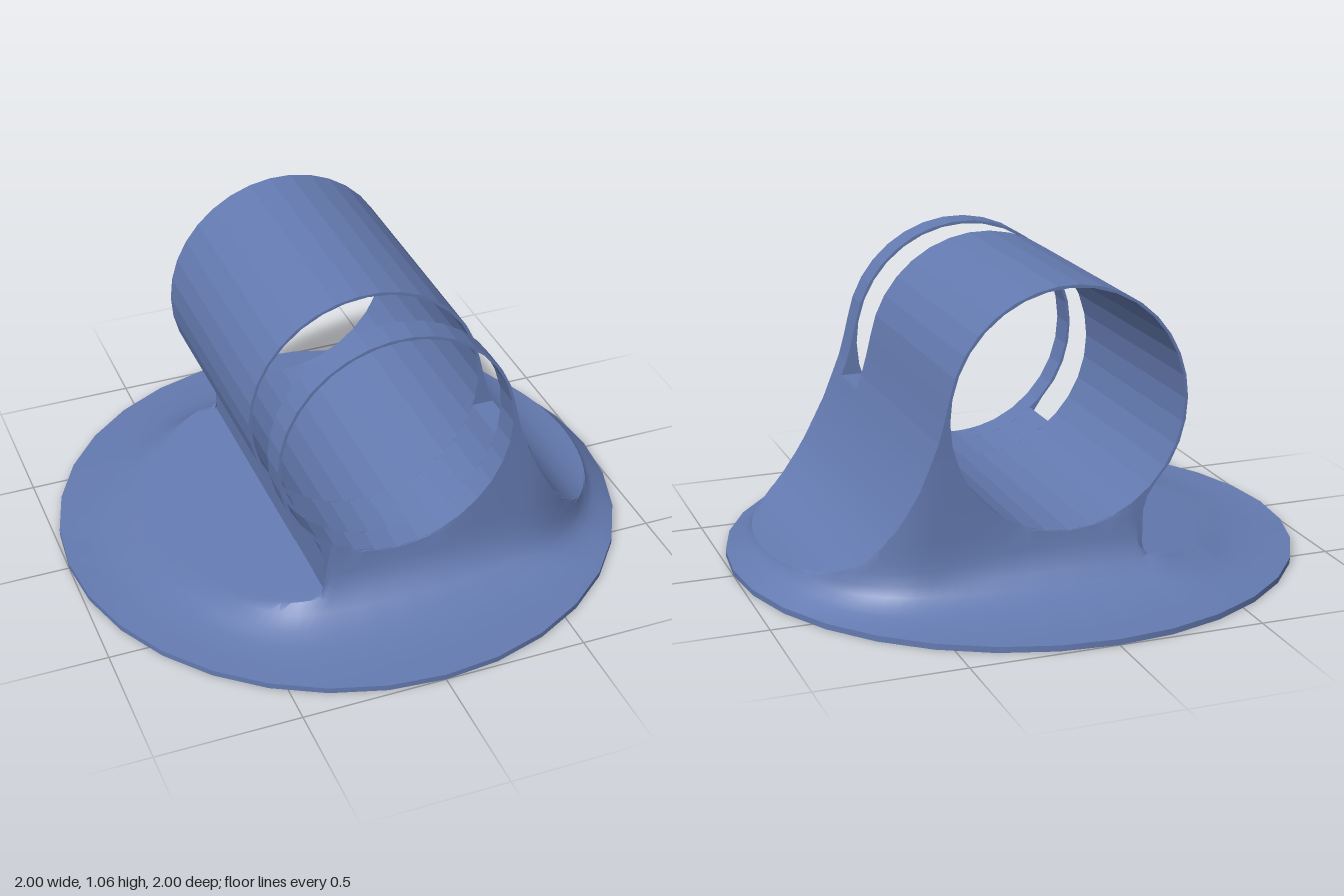
import * as THREE from 'three';
import { toCreasedNormals } from 'three/addons/utils/BufferGeometryUtils.js';

const CY = 0.645, R = 0.42, BORE = 0.41;        // tube centre height and radii
const HALF = 0.57, LEFT = -0.262, RIGHT = 0.47; // straight part of the body
const END_R = 0.43, END_L = 0.34;               // lengths of the rounded ends

const slope = [[0.47, 0.53], [0.5, 0.45], [0.55, 0.36], [0.6, 0.28], [0.65, 0.22], [0.7, 0.175],
  [0.75, 0.145], [0.8, 0.125], [0.85, 0.115], [0.9, 0.108], [1, 0.1]];
const flare = [[0, 0.6], [0.01, 0.25], [0.025, 0.19], [0.05, 0.155], [0.1, 0.115], [0.19, 0.08],
  [0.35, 0.05], [0.53, 0.032], [0.77, 0.024], [1, 0.02]];

function interpolate(table, x) {
  for (let i = 1; i < table.length; i++) {
    const [x0, y0] = table[i - 1], [x1, y1] = table[i];
    if (x <= x1) return y0 + (y1 - y0) * (x - x0) / (x1 - x0);
  }
  return table[table.length - 1][1];
}

// Highest allowed surface at x: left ramp, under the bore, or right slope
function profile(x) {
  if (x < LEFT) return Math.max(0.02, 0.125 + 0.165 * (x - LEFT));
  if (x < 0.4) return CY - Math.sqrt(BORE * BORE - x * x);
  return x < RIGHT ? 0.53 : interpolate(slope, x);
}

// Distance from the axis to the body outline in direction (c, s)
function outlineRadius(c, s) {
  let lo = 0, hi = 1;
  for (let i = 0; i < 30; i++) {
    const r = (lo + hi) / 2, x = r * c;
    const e = x > RIGHT ? (x - RIGHT) / END_R : x < LEFT ? (x - LEFT) / END_L : 0;
    if (e * e + (r * s / HALF) ** 2 < 1) lo = r; else hi = r;
  }
  return lo;
}

// Surface through equal-length rows of points
function loft(rows) {
  const n = rows[0].length, index = [];
  for (let k = 0; k < rows.length - 1; k++) {
    for (let j = 0; j < n - 1; j++) {
      const a = k * n + j, b = a + 1, c = b + n, d = a + n;
      index.push(a, b, c, a, c, d);
    }
  }
  const g = new THREE.BufferGeometry();
  g.setAttribute('position', new THREE.Float32BufferAttribute(rows.flat(2), 3));
  g.setIndex(index);
  return toCreasedNormals(g, 0.5);
}

// Top surface of a rounded end, as strips running across z
function endCap(x0, length) {
  const rows = [];
  for (let k = 0; k <= 16; k++) {
    const a = k / 16 * Math.PI / 2, w = HALF * Math.cos(a);
    const x = x0 + length * Math.sin(a), y = profile(x + Math.sign(length) * 1e-5);
    rows.push([[x, y, -w], [x, y, w]]);
  }
  return loft(length > 0 ? rows : rows.reverse());
}

// Concave skirt from the body outline to the 32-sided rim
function skirtGeometry() {
  const N = 128, side = Math.PI / 16;
  return loft(flare.map(([t, f]) => {
    const row = [];
    for (let j = 0; j <= N; j++) {
      const a = j / N * Math.PI * 2, c = Math.cos(a), s = Math.sin(a);
      const rim = Math.cos(side / 2) / Math.cos((a % side) - side / 2);
      const r0 = outlineRadius(c, s), r = r0 + (rim - r0) * t;
      const steep = Math.max(0, c) ** 4 * Math.max(0, 0.108 - 0.088 * t - f);
      row.push([r * c, Math.min(profile(r * c), f + steep), r * s]);
    }
    return row;
  }));
}

function arc(radius, from, to, n) {
  return Array.from({ length: n + 1 }, (_, i) => {
    const a = THREE.MathUtils.degToRad(from + (to - from) * i / n);
    return new THREE.Vector2(radius * Math.cos(a), CY + radius * Math.sin(a));
  });
}

const points = (list) => list.map(([x, y]) => new THREE.Vector2(x, y));

// Cross-section of tube and pedestal
function tubeShape() {
  const shape = new THREE.Shape([
    ...points([[LEFT, 0], [RIGHT, 0], [RIGHT, 0.53], [0.45, 0.58], [0.43, 0.65]]),
    ...arc(R, 10, 211, 19),
    ...points([[-0.31, 0.365], [-0.28, 0.32], [-0.265, 0.27]]),
  ]);
  shape.holes.push(new THREE.Path(arc(BORE, 0, -348.75, 31)));
  return shape;
}

// Cross-section left standing below the slot
function slotShape() {
  return new THREE.Shape([
    ...points([[LEFT, 0], [RIGHT, 0], [RIGHT, 0.53]]),
    ...arc(BORE, -16.3, -129.7, 11),
  ]);
}

export function createModel() {
  const group = new THREE.Group();
  const material = new THREE.MeshStandardMaterial({ color: 0x647ab0, side: THREE.DoubleSide });
  const add = (name, geometry) => {
    const mesh = new THREE.Mesh(geometry, material);
    mesh.name = name;
    group.add(mesh);
    return mesh;
  };
  const slab = (name, shape, z0, z1) => {
    const g = new THREE.ExtrudeGeometry(shape, { depth: z1 - z0, bevelEnabled: false });
    add(name, g.translate(0, 0, z0));
  };

  // Round foot
  add('baseDisc', new THREE.CylinderGeometry(1, 1, 0.02, 32)).position.y = 0.01;
  add('flaredSkirt', skirtGeometry());

  // Tube on its pedestal, split by the slot near the front
  slab('mainTube', tubeShape(), -HALF, 0.285);
  slab('slotFloor', slotShape(), 0.285, 0.47);
  slab('frontRing', tubeShape(), 0.47, HALF);

  // Rounded ends of the body
  add('rightSlope', endCap(RIGHT, END_R));
  add('leftRamp', endCap(LEFT, -END_L));
  return group;
}
